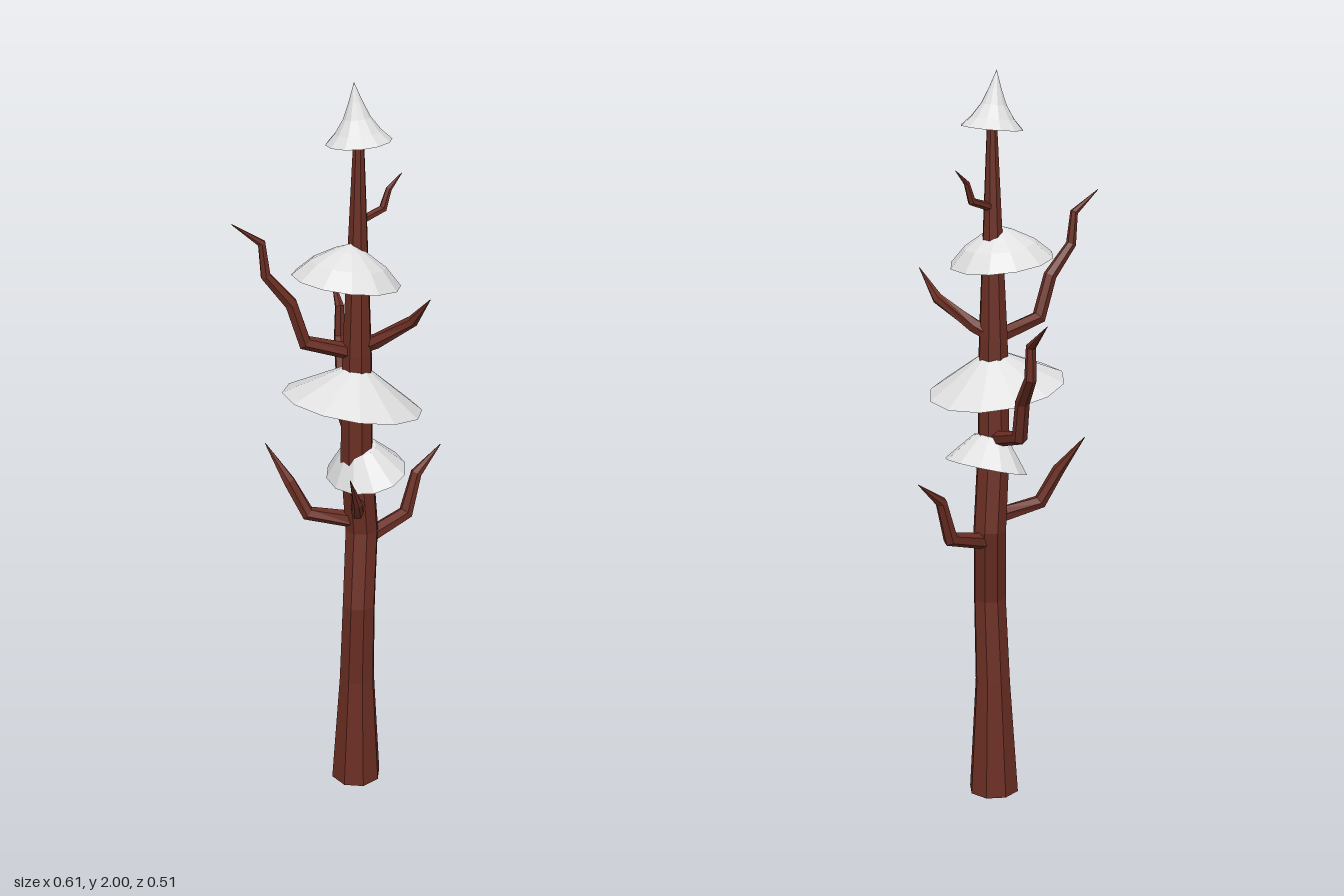
import * as THREE from 'three';

const bark = new THREE.MeshStandardMaterial({ color: 0x6a2e23 });
bark.name = 'bark';
const snow = new THREE.MeshStandardMaterial({ color: 0xe0e0e0 });
snow.name = 'snow';

// Faceted normals for the low-poly look
function facet(geometry) {
  const g = geometry.index ? geometry.toNonIndexed() : geometry;
  g.computeVertexNormals();
  return g;
}

// Tapered limb through path points [x, y, z, radius], closed at both ends
function limb(name, path, sides) {
  const pts = path.map(([x, y, z]) => new THREE.Vector3(x, y, z));
  const rings = pts.map((p, i) => {
    const dir = new THREE.Vector3();
    if (i > 0) dir.add(p.clone().sub(pts[i - 1]).normalize());
    if (i < pts.length - 1) dir.add(pts[i + 1].clone().sub(p).normalize());
    dir.normalize();
    const ref = new THREE.Vector3(0.08, 0.05, 1).normalize();
    if (Math.abs(dir.dot(ref)) > 0.85) ref.set(1, 0, 0);
    const u = ref.addScaledVector(dir, -ref.dot(dir)).normalize();
    const v = dir.clone().cross(u);
    return Array.from({ length: sides }, (_, k) => {
      const a = ((k + 0.5) / sides) * Math.PI * 2;
      return p.clone().addScaledVector(u, Math.cos(a) * path[i][3]).addScaledVector(v, Math.sin(a) * path[i][3]);
    });
  });
  const verts = [];
  const last = rings.length - 1;
  for (let k = 0; k < sides; k++) {
    const n = (k + 1) % sides;
    for (let i = 0; i < last; i++) {
      const a = rings[i][k], b = rings[i][n], c = rings[i + 1][n], d = rings[i + 1][k];
      verts.push(a, b, c, a, c, d);
    }
    verts.push(pts[0], rings[0][n], rings[0][k]);
    verts.push(pts[last], rings[last][k], rings[last][n]);
  }
  const mesh = new THREE.Mesh(facet(new THREE.BufferGeometry().setFromPoints(verts)), bark);
  mesh.name = name;
  return mesh;
}

// Tilted snow cone; profile lists [radius, height] from rim to tip
function snowCone(name, position, profile, tiltX, tiltZ, scaleX = 1) {
  const points = [[0, 0], ...profile].map(([r, h]) => new THREE.Vector2(r, h));
  const mesh = new THREE.Mesh(facet(new THREE.LatheGeometry(points, 12)), snow);
  mesh.name = name;
  mesh.position.set(...position);
  mesh.rotation.set(tiltX, 0, tiltZ);
  mesh.scale.x = scaleX;
  return mesh;
}

export function createModel() {
  const tree = new THREE.Group();
  tree.name = 'snowyBareTree';

  // Crooked trunk
  tree.add(limb('trunk', [
    [0.013, 0, 0.07, 0.071], [0.012, 0.33, 0.074, 0.05], [0.006, 0.57, 0.09, 0.046],
    [0.036, 0.78, 0.06, 0.046], [0.012, 1.0, 0.068, 0.045], [0.01, 1.3, 0.07, 0.04],
    [0.011, 1.58, 0.07, 0.027], [0.012, 1.88, 0.07, 0.013],
  ], 8));

  // Branches, each bending up to a sharp tip
  const branches = {
    lowLeftBranch: [[0.04, 0.745, 0.06, 0.023], [0.185, 0.785, 0.06, 0.021], [0.22, 0.895, 0.058, 0.016], [0.303, 0.96, 0.057, 0.001]],
    lowRightBackBranch: [[0.02, 0.81, 0.06, 0.024], [-0.1, 0.84, 0.0, 0.02], [-0.135, 0.93, -0.035, 0.017], [-0.168, 1.027, -0.1, 0.001]],
    lowRightFrontBranch: [[0.015, 0.87, 0.07, 0.02], [-0.05, 0.89, 0.16, 0.016], [-0.07, 0.935, 0.188, 0.013], [-0.12, 1.03, 0.225, 0.001]],
    backBranch: [[0.02, 1.03, 0.055, 0.022], [0.077, 1.07, -0.09, 0.021], [0.092, 1.17, -0.114, 0.019],
      [0.124, 1.245, -0.172, 0.016], [0.126, 1.33, -0.175, 0.013], [0.154, 1.395, -0.256, 0.001]],
    highRightBranch: [[0.01, 1.3, 0.07, 0.022], [-0.125, 1.345, 0.03, 0.02], [-0.16, 1.455, 0.022, 0.018],
      [-0.222, 1.535, 0.003, 0.014], [-0.23, 1.62, 0.0, 0.011], [-0.303, 1.676, -0.02, 0.001]],
    frontBranch: [[0.015, 1.31, 0.06, 0.022], [0.045, 1.335, 0.105, 0.02], [0.098, 1.405, 0.19, 0.015], [0.1, 1.48, 0.256, 0.001]],
    topBranch: [[0.012, 1.648, 0.067, 0.012], [0.09, 1.67, 0.067, 0.011], [0.108, 1.718, 0.067, 0.008], [0.148, 1.753, 0.067, 0.001]],
  };
  for (const [name, path] of Object.entries(branches)) tree.add(limb(name, path, 6));

  // Snow resting on the trunk, from the tip down
  tree.add(snowCone('snowTip', [0.013, 1.853, 0.069],
    [[0.083, 0], [0.058, 0.025], [0.034, 0.06], [0.017, 0.1], [0, 0.147]], -0.06, 0.06));
  tree.add(snowCone('upperSnow', [-0.027, 1.505, 0.074],
    [[0.14, 0], [0.096, 0.044], [0.04, 0.078], [0, 0.095]], 0, -0.15));
  tree.add(snowCone('middleSnow', [-0.005, 1.168, 0.072],
    [[0.186, 0], [0.105, 0.048], [0.035, 0.09], [0, 0.11]], 0, -0.19));
  tree.add(snowCone('lowerSnow', [0.042, 0.955, 0.068],
    [[0.123, 0], [0.088, 0.04], [0.052, 0.08], [0, 0.095]], 0, 0.27, 0.83));

  return tree;
}
